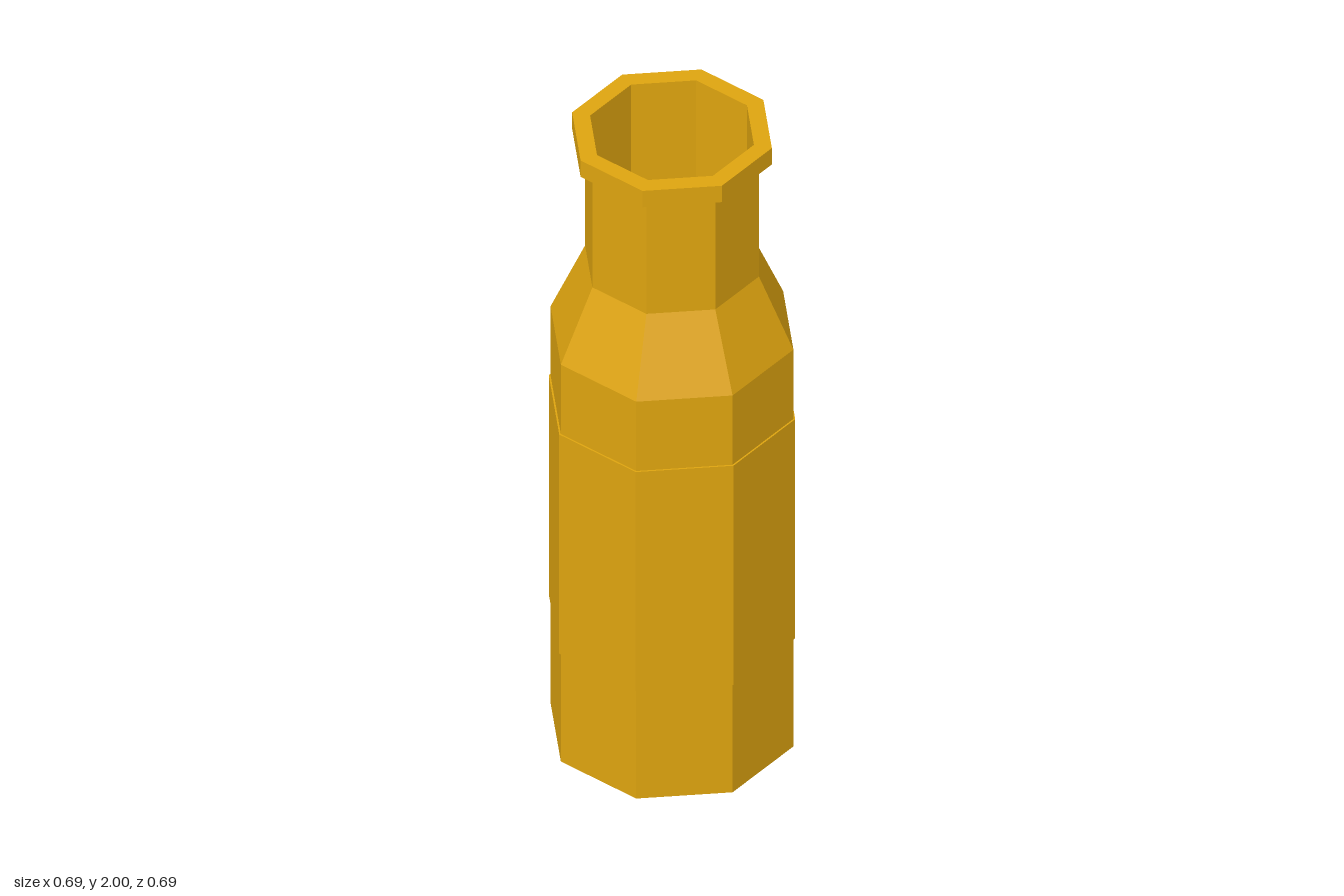
import * as THREE from 'three';

const SIDES = 8;

// Faceted eight-sided turning from [radius, height] pairs
function turned(name, profile, material) {
  const points = profile.map(([r, y]) => new THREE.Vector2(r, y));
  const geometry = new THREE.LatheGeometry(points, SIDES).toNonIndexed();
  geometry.computeVertexNormals();
  const mesh = new THREE.Mesh(geometry, material);
  mesh.name = name;
  return mesh;
}

export function createModel() {
  const group = new THREE.Group();
  group.name = 'bottle';
  const amber = new THREE.MeshStandardMaterial({ color: 0xdea40f });
  amber.name = 'amber';

  // Base, body, shoulder and neck
  group.add(turned('bottleBody', [
    [0, 0], [0.338, 0], [0.338, 1.335], [0.242, 1.56], [0.242, 1.945],
  ], amber));

  // Lip around the mouth
  group.add(turned('lip', [
    [0.242, 1.945], [0.278, 1.945], [0.278, 2], [0.228, 2],
  ], amber));

  // Hollow inside, following the outer wall
  group.add(turned('innerWall', [
    [0.228, 2], [0.228, 1.557], [0.324, 1.332], [0.324, 0.014], [0, 0.014],
  ], amber));

  // Label band wrapped around the body
  group.add(turned('labelBand', [
    [0.338, 0.365], [0.343, 0.365], [0.343, 1.102], [0.338, 1.102],
  ], amber));

  return group;
}
